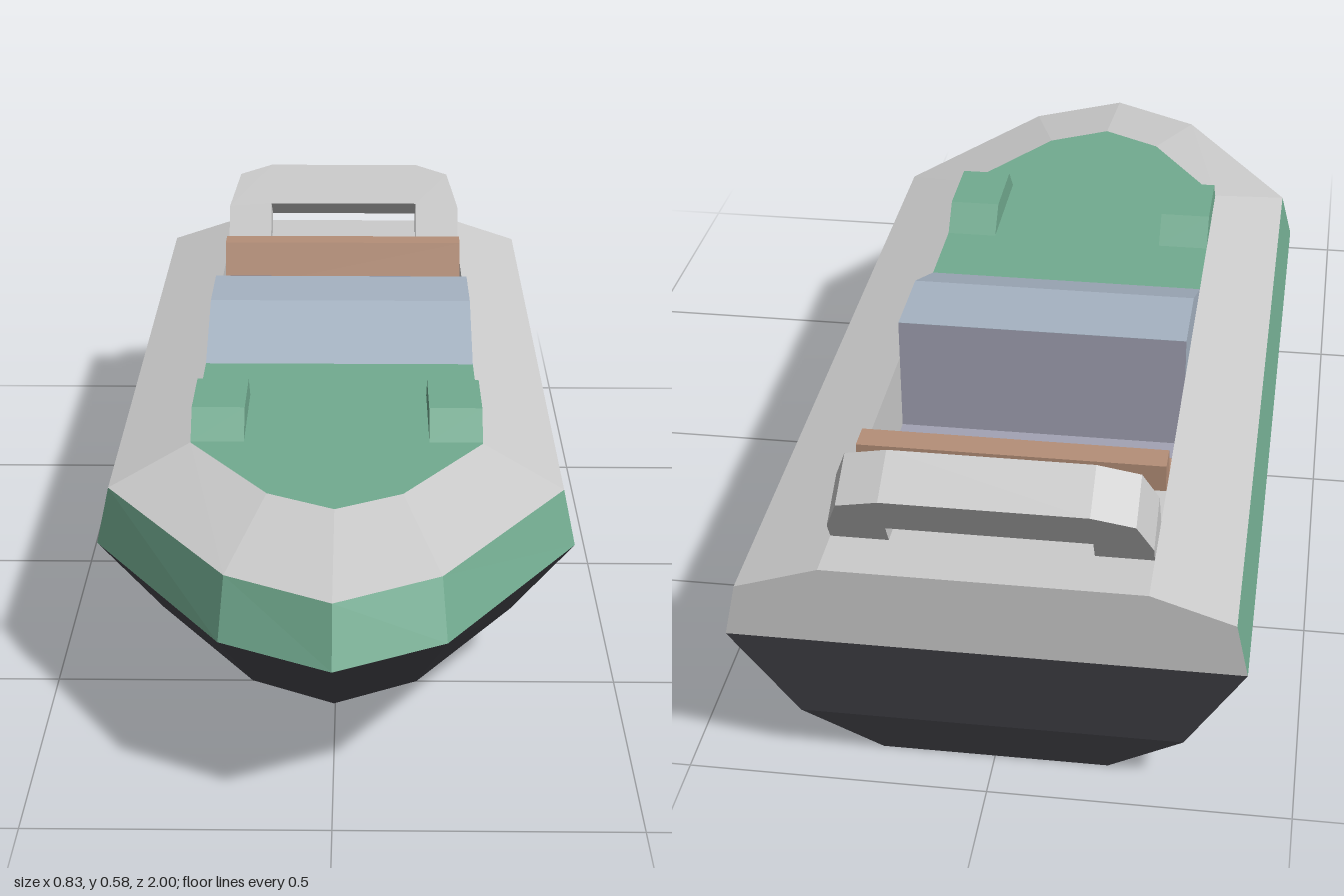
import * as THREE from 'three';

const mat = (color) => new THREE.MeshStandardMaterial({ color, flatShading: true, side: THREE.DoubleSide });
const GREY = mat(0xcccccc), DARK = mat(0x4a4a51), GREEN = mat(0x72ab90);
const BROWN = mat(0xb58f78), GLASS = mat(0xa6b3c2), LINER = mat(0xa2a2b4);

// Flat mesh from a list of convex polygons (arrays of [x, y, z])
function faces(name, polys, material) {
  const pos = [];
  for (const p of polys)
    for (let i = 1; i < p.length - 1; i++) pos.push(...p[0], ...p[i], ...p[i + 1]);
  const g = new THREE.BufferGeometry();
  g.setAttribute('position', new THREE.Float32BufferAttribute(pos, 3));
  g.computeVertexNormals();
  const mesh = new THREE.Mesh(g, material);
  mesh.name = name;
  return mesh;
}

// Horizontal hull outline from +x stern round the bow to -x stern
function ring(y, half) {
  const left = half.map(([x, z]) => [x, y, z]);
  const right = left.slice(0, -1).reverse().map(([x, , z]) => [-x, y, z]);
  return [...left, ...right];
}

// Quads between two outlines, without the stern
function skin(a, b) {
  return a.slice(1).map((_, i) => [a[i], b[i], b[i + 1], a[i + 1]]);
}
const stern = (a, b) => [a[6], b[6], b[0], a[0]];

// Side profile of [z, y] points extruded across x
function across(name, profile, width, x, material) {
  const shape = new THREE.Shape(profile.map(([z, y]) => new THREE.Vector2(z, y)));
  const g = new THREE.ExtrudeGeometry(shape, { depth: width, bevelEnabled: false });
  g.translate(0, 0, -width / 2).rotateY(-Math.PI / 2).translate(x, 0, 0);
  const mesh = new THREE.Mesh(g, material);
  mesh.name = name;
  return mesh;
}

export function createModel() {
  const boat = new THREE.Group();
  boat.name = 'boat';

  // Hull outlines from keel to deck
  const keel = ring(0, [[0.19, -0.91], [0.19, 0.19], [0.09, 0.35], [0, 0.4]]);
  const chine = ring(0.097, [[0.317, -0.95], [0.317, 0.4], [0.14, 0.68], [0, 0.76]]);
  const waist = ring(0.283, [[0.417, -1], [0.417, 0.525], [0.183, 0.9], [0, 1]]);
  const rail = ring(0.377, [[0.397, -1], [0.397, 0.5], [0.175, 0.85], [0, 0.95]]);
  const deckY = 0.422, floorY = 0.28, W = 0.26;
  const deck = ring(deckY, [[W, -1], [W, 0.4], [0.115, 0.625], [0, 0.69]]);

  boat.add(
    faces('hull', [keel, ...skin(keel, chine), stern(keel, chine),
      ...skin(chine, waist), stern(chine, waist)], DARK),
    faces('sideBand', skin(waist, rail), GREEN),
    faces('gunwale', skin(rail, deck), GREY),
    faces('transom', [stern(waist, rail), stern(rail, deck)], GREY),
  );

  // Decks before and behind the cockpit
  const front = -0.34, back = -0.71;
  const foredeck = deck.map(([x, y, z]) => [x, y, Math.max(z, front)]).reverse();
  boat.add(
    faces('foredeck', [foredeck], GREEN),
    faces('aftDeck', [[[-W, deckY, -1], [-W, deckY, back], [W, deckY, back], [W, deckY, -1]]], GREY),
  );

  // Cockpit well
  const wall = (x) => [[x, floorY, back], [x, deckY, back], [x, deckY, front], [x, floorY, front]];
  boat.add(
    faces('cockpitWalls', [wall(-W), wall(W).reverse()], GREY),
    faces('cockpitFloor', [[[-W, floorY, back], [-W, floorY, front], [W, floorY, front], [W, floorY, back]]], LINER),
    faces('dashboard', [[[-W, floorY, front - 0.001], [-W, 0.495, front - 0.001],
      [W, 0.495, front - 0.001], [W, floorY, front - 0.001]]], LINER),
  );

  // Console with sloping windshield, and bench seat
  boat.add(
    across('windshield', [[-0.01, deckY], [-0.18, 0.495], [front, 0.495], [front, deckY]], 2 * W, 0, GLASS),
    across('seat', [[-0.53, floorY], [-0.53, 0.37], [-0.62, 0.37], [-0.66, 0.47],
      [back, 0.47], [back, floorY]], 2 * W - 0.002, 0, BROWN),
  );

  // Pair of foredeck vents
  for (const [name, s] of [['leftVent', 1], ['rightVent', -1]])
    boat.add(across(name, [[0.395, deckY], [0.35, 0.47], [0.205, 0.47], [0.16, deckY]], 0.095, s * 0.2125, GREEN));

  // Arch leaning aft, its feet sunk into the deck
  const half = [[0.165, 0], [W, 0], [W, 0.09], [0.235, 0.166], [0.165, 0.188]];
  const outer = [[0.165, 0.097], ...half];
  const arch = [...outer, ...outer.map(([x, v]) => [-x, v]).reverse()];
  const bar = new THREE.Mesh(new THREE.ExtrudeGeometry(
    new THREE.Shape(arch.map((p) => new THREE.Vector2(...p))),
    { depth: 0.092, bevelEnabled: false }).translate(0, 0, -0.092), GREY);
  bar.name = 'rollBar';
  bar.rotation.x = -Math.PI / 6;
  bar.position.set(0, deckY, -0.8);
  boat.add(bar);

  return boat;
}
